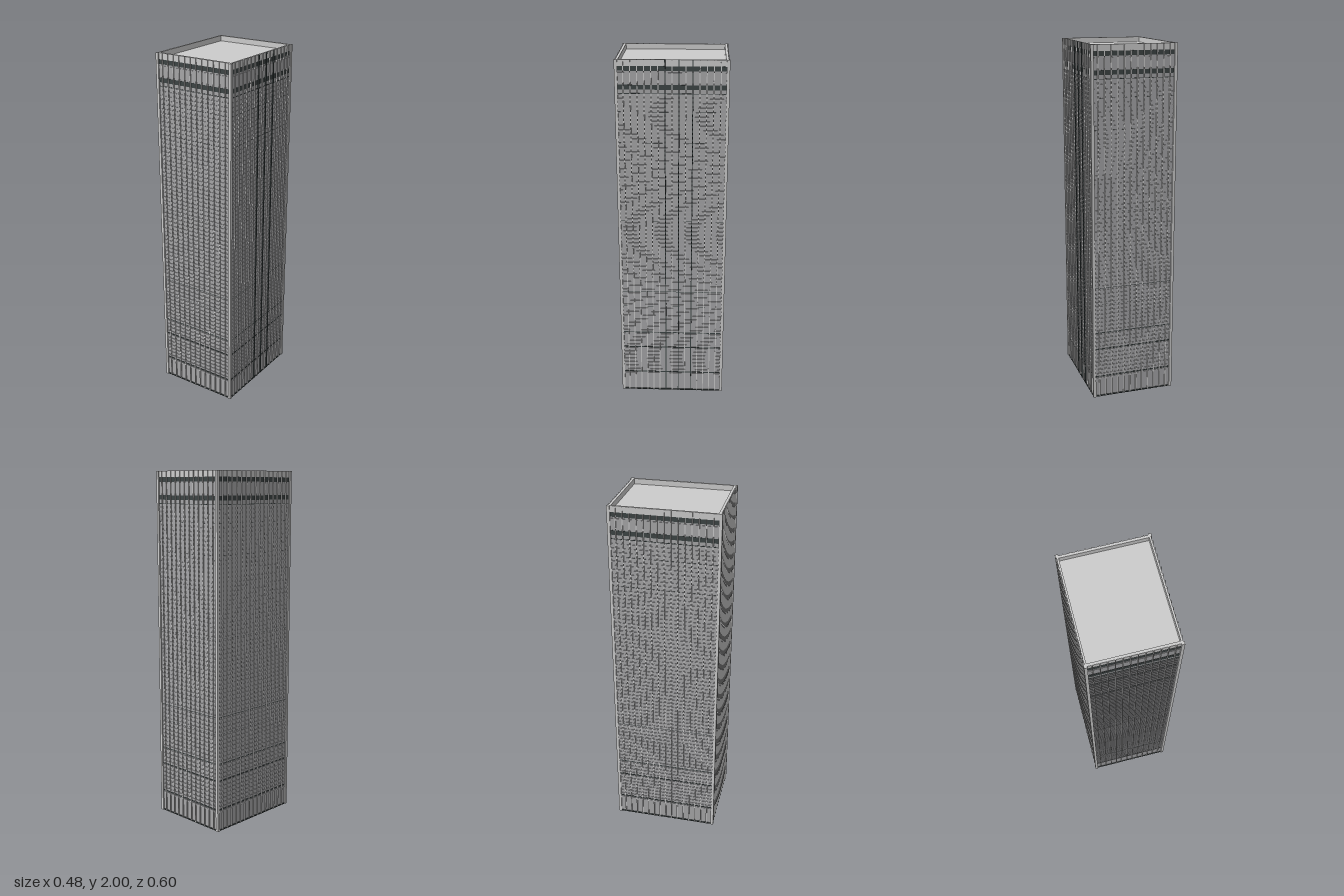
import * as THREE from 'three';

const HX = 0.235, HZ = 0.293, H = 2; // half width, half depth, height of the facade
const ROOF = 1.97, BAY = 0.0365, FLOOR = 0.0243;

const material = (color) => new THREE.MeshStandardMaterial({ color, flatShading: true });

export function createModel() {
  const tower = new THREE.Group();
  tower.name = 'tower';
  const grey = material(0xcccccc);
  const wall = material(0xa6a6a8);
  const dark = material(0x3c4444);

  const box = (parent, name, mat, w, h, d, x, y, z) => {
    const mesh = new THREE.Mesh(new THREE.BoxGeometry(w, h, d), mat);
    mesh.name = name;
    mesh.position.set(x, y, z);
    parent.add(mesh);
    return mesh;
  };
  const group = (name) => {
    const g = new THREE.Group();
    g.name = name;
    tower.add(g);
    return g;
  };
  // a full-floor slab whose faces sit "inset" behind the facade line
  const band = (parent, name, mat, y, h, inset) =>
    box(parent, name, mat, 2 * (HX - inset), h, 2 * (HZ - inset), 0, y, 0);

  // window wall, with its top face forming the roof deck
  box(tower, 'windowWall', wall, 2 * HX - 0.006, ROOF, 2 * HZ - 0.006, 0, ROOF / 2, 0);
  tower.children[0].material = [wall, wall, grey, wall, wall, wall];
  band(tower, 'basePlate', dark, 0.003, 0.006, -0.002);

  // parapet ring around the sunken roof
  const rect = (Type, x, z) => new Type([
    new THREE.Vector2(-x, -z), new THREE.Vector2(x, -z),
    new THREE.Vector2(x, z), new THREE.Vector2(-x, z),
  ]);
  const ring = rect(THREE.Shape, HX, HZ);
  ring.holes.push(rect(THREE.Path, 0.225, 0.279));
  const parapetGeometry = new THREE.ExtrudeGeometry(ring, { depth: 0.034, bevelEnabled: false });
  parapetGeometry.rotateX(-Math.PI / 2);
  const parapet = new THREE.Mesh(parapetGeometry, grey);
  parapet.name = 'parapet';
  parapet.position.y = H - 0.034;
  tower.add(parapet);

  // spandrels at every floor between the base and the plant levels
  const spandrels = group('spandrels');
  for (let i = 0; i < 70; i++) {
    band(spandrels, 'spandrel', wall, 0.125 + (i + 0.5) * FLOOR, 0.012, 0);
  }
  band(spandrels, 'baseFascia', wall, 0.112, 0.012, 0);
  band(spandrels, 'plantFascia', wall, 1.905, 0.055, 0);

  // dark joints and the two louvred plant levels
  const joints = group('joints');
  [0.125, 0.295, 0.395, 0.57, 0.665, 0.84, 1.01, 1.105, 1.28, 1.45, 1.55, 1.72, 1.82]
    .forEach((y) => band(joints, 'joint', dark, y, 0.006, 0.001));
  const louvres = group('louvres');
  [1.855, 1.953].forEach((y) => band(louvres, 'louvreBand', dark, y, 0.025, 0.002));

  // vertical fins on all four sides
  const fins = group('fins');
  for (const side of [-1, 1]) {
    for (let i = 0; i < 12; i++) {
      box(fins, 'fin', grey, 0.005, H, 0.007, (i - 5.5) * BAY, H / 2, side * (HZ + 0.001));
    }
    for (let i = 0; i < 15; i++) {
      // three dark fins mark one side
      const mat = side > 0 && [4, 6, 8].includes(i) ? dark : grey;
      box(fins, 'fin', mat, 0.007, H, 0.005, side * (HX + 0.001), H / 2, (i - 7) * BAY);
    }
  }

  // corner piers: L-shaped in plan
  const piers = group('cornerPiers');
  for (const x of [-1, 1]) {
    for (const z of [-1, 1]) {
      box(piers, 'pierFace', grey, 0.016, H, 0.008, x * 0.232, H / 2, z * 0.296);
      box(piers, 'pierFlank', grey, 0.007, H, 0.016, x * 0.2365, H / 2, z * 0.2915);
    }
  }
  return tower;
}
